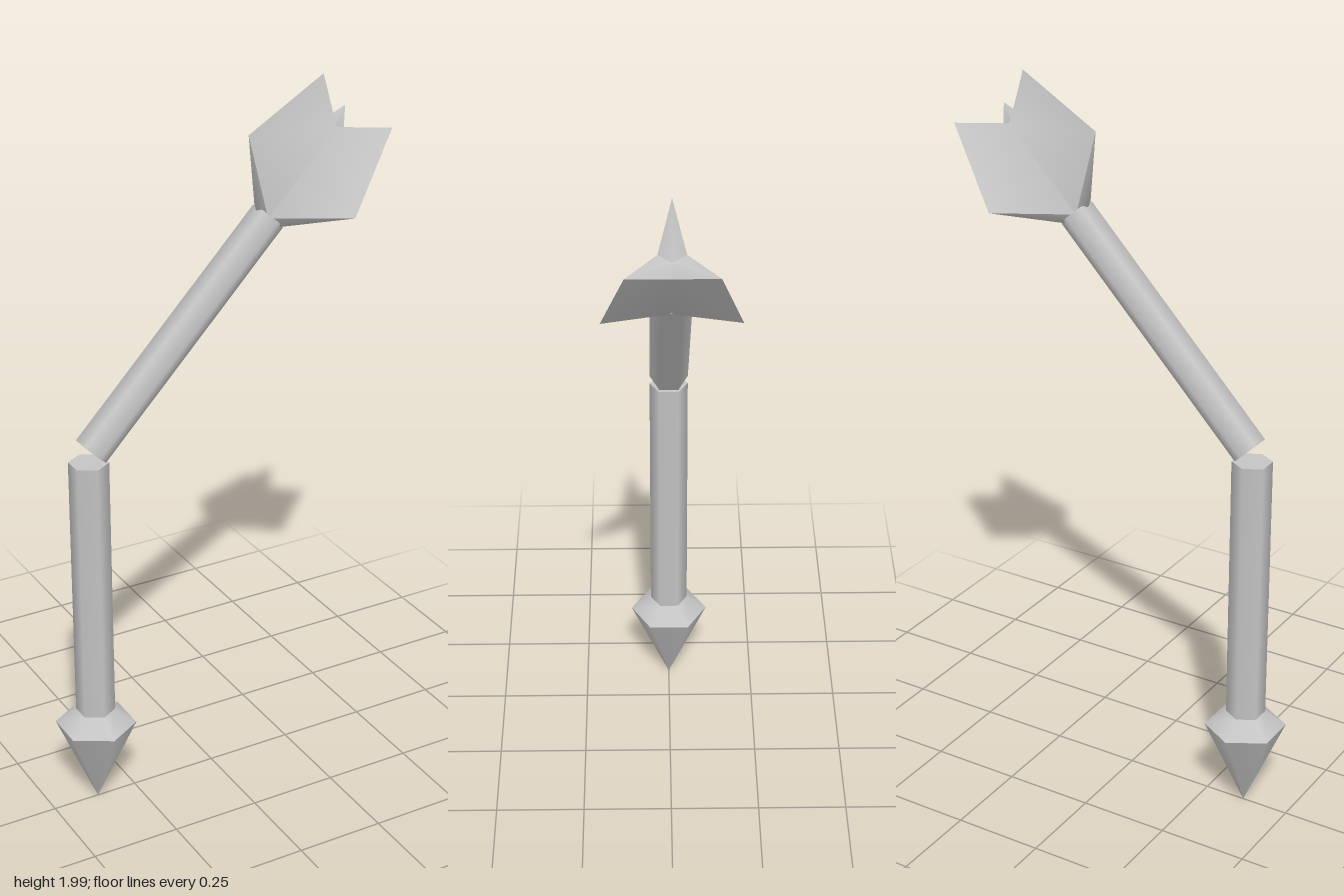
import * as THREE from 'three';
import { toCreasedNormals } from 'three/addons/utils/BufferGeometryUtils.js';

// Three tapering vanes with a notched end, around the local y axis
function fletchingGeometry() {
  const positions = [];
  const polar = (r, y, a) => [-r * Math.cos(a), y, r * Math.sin(a)];
  const baseY = 0.757, notchY = 1.05;
  for (let k = 0; k < 3; k++) {
    for (const side of [1, -1]) {
      const a = (k * 2 * Math.PI) / 3;
      const mid = a + (side * Math.PI) / 3;
      const root = polar(0.043, baseY, a);
      const low = polar(0.2, 0.888, a);
      const up = polar(0.13, 1.134, a);
      const valleyBase = polar(0.039, baseY, mid);
      const valleyTop = polar(0.04, notchY, mid);
      const triangles = [
        [low, valleyTop, up],
        [low, valleyBase, valleyTop],
        [low, root, valleyBase],
        [up, valleyTop, [0, notchY, 0]],
        [root, [0, baseY, 0], valleyBase],
      ];
      for (const [p, q, r] of triangles) {
        positions.push(...p, ...(side > 0 ? q : r), ...(side > 0 ? r : q));
      }
    }
  }
  const geometry = new THREE.BufferGeometry();
  geometry.setAttribute('position', new THREE.Float32BufferAttribute(positions, 3));
  geometry.computeVertexNormals();
  return toCreasedNormals(geometry, 1.0);
}

export function createModel() {
  const model = new THREE.Group();
  model.name = 'brokenArrow';
  const grey = new THREE.MeshStandardMaterial({ color: 0xc4c4c4 });
  grey.name = 'grey';

  const add = (parent, name, geometry, y = 0) => {
    const mesh = new THREE.Mesh(geometry, grey);
    mesh.name = name;
    mesh.position.y = y;
    parent.add(mesh);
    return mesh;
  };
  // Six-sided section between two heights
  const section = (parent, name, rTop, rBottom, y0, y1) =>
    add(parent, name, new THREE.CylinderGeometry(rTop, rBottom, y1 - y0, 6), (y0 + y1) / 2);

  // Upright half with the point
  const lower = new THREE.Group();
  lower.name = 'lowerHalf';
  lower.position.x = -0.366;
  section(lower, 'lowerShaft', 0.054, 0.054, 0.29, 1.055);
  section(lower, 'headCollar', 0.054, 0.112, 0.252, 0.295);
  section(lower, 'headPoint', 0.112, 0, 0.005, 0.252);
  model.add(lower);

  // Tilted half with the fletching
  const upper = new THREE.Group();
  upper.name = 'upperHalf';
  upper.position.set(-0.358, 1.085, 0);
  upper.rotation.z = -Math.atan2(0.69, 0.725);
  section(upper, 'upperShaft', 0.054, 0.054, 0, 0.765).scale.x = 0.87;
  add(upper, 'fletching', fletchingGeometry());
  model.add(upper);

  return model;
}
